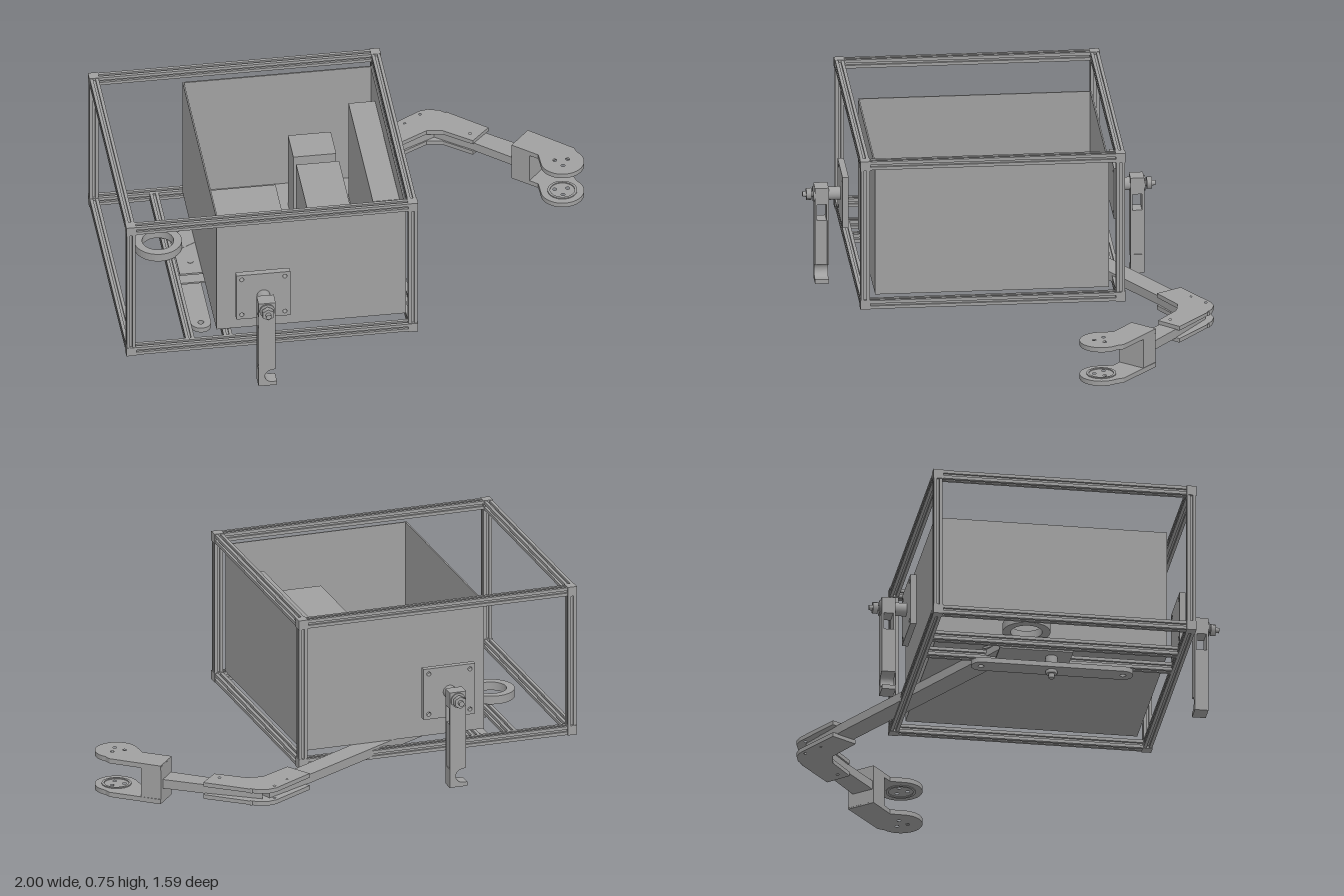
import * as THREE from 'three';

const grey = new THREE.MeshStandardMaterial({ color: 0xa0a0a0 });
grey.name = 'plain grey';

export function createModel() {
  const root = new THREE.Group();
  root.name = 'framedRobot';

  const add = (name, geo, parent = root) => {
    const m = new THREE.Mesh(geo, grey);
    m.name = name;
    parent.add(m);
    return m;
  };
  // box given by its limits on each axis
  const box = (name, x0, x1, y0, y1, z0, z1, parent) =>
    add(name, new THREE.BoxGeometry(x1 - x0, y1 - y0, z1 - z0)
      .translate((x0 + x1) / 2, (y0 + y1) / 2, (z0 + z1) / 2), parent);
  const circle = (x, y, r) => new THREE.Path().absarc(x, y, r, 0, Math.PI * 2, true);
  const extrude = (shape, depth) =>
    new THREE.ExtrudeGeometry(shape, { depth, bevelEnabled: false, curveSegments: 24 });
  // horizontal plate whose outline uses (x, -z)
  const slab = (name, shape, y0, y1, parent) =>
    add(name, extrude(shape, y1 - y0).rotateX(-Math.PI / 2).translate(0, y0, 0), parent);
  const poly = pts => new THREE.Shape(pts.map(([x, z]) => new THREE.Vector2(x, -z)));
  const postY = (name, x, z, r, y0, y1, n = 24, parent) =>
    add(name, new THREE.CylinderGeometry(r, r, y1 - y0, n).translate(x, (y0 + y1) / 2, z), parent);

  // slotted bar profile with a groove in each side
  const h = 0.018, g = 0.005, d = 0.009;
  const side = [[-h, -h], [-g, -h], [-g, -h + d], [g, -h + d], [g, -h]];
  const profile = new THREE.Shape();
  for (let k = 0; k < 4; k++) {
    const c = Math.round(Math.cos(k * Math.PI / 2)), s = Math.round(Math.sin(k * Math.PI / 2));
    side.forEach(([x, y], i) => {
      const p = [x * c - y * s, x * s + y * c];
      if (k + i === 0) profile.moveTo(...p); else profile.lineTo(...p);
    });
  }
  const bar = (name, axis, len, x, y, z) => {
    const geo = extrude(profile, len).translate(0, 0, -len / 2);
    if (axis === 'x') geo.rotateY(Math.PI / 2);
    if (axis === 'y') geo.rotateX(Math.PI / 2);
    add(name, geo.translate(x, y, z));
  };

  // outer frame
  const X = [-0.98, 0.17], Y = [0.13, 0.73], Z = [-0.445, 0.59];
  const mid = a => (a[0] + a[1]) / 2, len = a => a[1] - a[0] - 0.036;
  for (const y of Y) for (const z of Z) bar('frameRail', 'x', len(X), mid(X), y, z);
  for (const x of X) for (const z of Z) bar('framePost', 'y', len(Y), x, mid(Y), z);
  for (const x of X) for (const y of Y) bar('frameCrossRail', 'z', len(Z), x, y, mid(Z));
  for (const x of X) for (const y of Y) for (const z of Z)
    box('frameCorner', x - 0.02, x + 0.02, y - 0.02, y + 0.02, z - 0.02, z + 0.02);
  for (const x of [-0.735, -0.58]) bar('floorRail', 'z', len(Z), x, 0.13, mid(Z));

  // open storage bin
  const t = 0.006, bx0 = -0.623, bx1 = 0.15, bz0 = -0.4, bz1 = 0.547, top = 0.712;
  box('binFloor', bx0, bx1, 0.16, 0.166, bz0, bz1);
  box('binWall', bx0, bx0 + t, 0.166, top, bz0, bz1);
  box('binWall', bx1 - t, bx1, 0.166, top, bz0, bz1);
  box('binWall', bx0 + t, bx1 - t, 0.166, top, bz0, bz0 + t);
  box('binWall', bx0 + t, bx1 - t, 0.166, top, bz1 - t, bz1);

  // blocks stored in the bin
  box('flatBlock', -0.595, -0.26, 0.166, 0.24, -0.29, 0.43);
  box('shortBlock', -0.215, -0.04, 0.166, 0.51, -0.25, -0.1);
  box('longBlock', -0.215, -0.04, 0.166, 0.53, -0.02, 0.425);
  box('tallBlock', 0.035, 0.143, 0.166, 0.63, -0.27, 0.41);

  // hanging hook with its mounting plate, built facing +z from z = 0
  const hook = () => {
    const grp = new THREE.Group();
    grp.name = 'hangingHook';
    const cx = -0.445, cy = 0.375;
    const rod = (name, r, z0, z1, n = 24) =>
      add(name, new THREE.CylinderGeometry(r, r, z1 - z0, n).rotateX(Math.PI / 2)
        .translate(cx, cy, (z0 + z1) / 2), grp);
    const plate = new THREE.Shape();
    plate.moveTo(-0.555, 0.265).lineTo(-0.335, 0.265).lineTo(-0.335, 0.483).lineTo(-0.555, 0.483);
    for (const x of [-0.533, -0.357]) for (const y of [0.287, 0.461]) plate.holes.push(circle(x, y, 0.009));
    add('mountPlate', extrude(plate, 0.025), grp);
    rod('hubCollar', 0.027, 0.025, 0.075);
    rod('axle', 0.011, 0.075, 0.178);
    rod('hexNut', 0.026, 0.142, 0.163, 6);
    rod('washer', 0.031, 0.13, 0.136);
    // drop arm: solid head, two slot cheeks, body and notched foot
    const z0 = 0.074, z1 = 0.13, a = -0.48, b = -0.41;
    box('armHead', a, b, 0.34, 0.41, z0, z1, grp);
    for (const z of [z0, z1 - 0.009]) box('slotCheek', a, b, 0.27, 0.34, z, z + 0.009, grp);
    box('armBody', a + 0.003, b - 0.003, 0.08, 0.27, z0 + 0.006, z1 - 0.006, grp);
    for (const z of [z0, z1 - 0.006]) box('armEdge', a, b, 0.08, 0.27, z, z + 0.006, grp);
    const foot = new THREE.Shape();
    foot.moveTo(a, 0.08).lineTo(a, 0).lineTo(-0.405, 0).lineTo(-0.405, 0.018).lineTo(-0.425, 0.018);
    foot.absarc(-0.425, 0.047, 0.029, -Math.PI / 2, Math.PI / 2, true);
    foot.lineTo(b, 0.08);
    add('hookFoot', extrude(foot, z1 - z0).translate(0, 0, z0), grp);
    return grp;
  };
  const frontHook = hook();
  frontHook.position.z = 0.61;
  const backHook = hook();
  backHook.rotation.y = Math.PI;
  backHook.position.set(-0.89, 0, -0.465);
  root.add(frontHook, backHook);

  // rocking lever and pivot below the floor
  const lever = new THREE.Shape();
  lever.absarc(-0.66, 0.217, 0.041, 0, Math.PI, false);
  lever.absarc(-0.66, -0.362, 0.041, Math.PI, Math.PI * 2, false);
  lever.holes.push(circle(-0.66, 0.217, 0.012), circle(-0.66, -0.362, 0.012));
  slab('rockingLever', lever, 0.045, 0.066);
  postY('pivotShaft', -0.66, 0.07, 0.012, 0.012, 0.16);
  postY('pivotCollar', -0.66, 0.07, 0.024, 0.066, 0.105);
  postY('pivotNut', -0.66, 0.07, 0.024, 0.03, 0.045, 6);
  box('pivotPlate', -0.72, -0.6, 0.105, 0.112, -0.15, 0.15);
  box('pivotTopPlate', -0.715, -0.6, 0.15, 0.158, -0.06, 0.15);

  // ring at the root of the arm
  const ring = new THREE.Shape();
  ring.absarc(-0.775, 0.05, 0.097, 0, Math.PI * 2, false);
  ring.holes.push(circle(-0.775, 0.05, 0.064));
  slab('shoulderRing', ring, 0.155, 0.19);
  slab('ringClamp', poly([[-0.7, -0.1], [-0.6, -0.2], [-0.6, -0.07], [-0.69, -0.02]]), 0.15, 0.159);

  // upper arm, elbow and forearm
  slab('upperArm', poly([[0.42, -0.765], [0.45, -0.68], [0.26, -0.585], [-0.67, -0.035], [-0.72, -0.115], [0.2, -0.65]]), 0.121, 0.159);
  slab('forearm', poly([[0.45, -0.765], [0.65, -0.625], [0.84, -0.475], [0.77, -0.41], [0.59, -0.565], [0.44, -0.68]]), 0.121, 0.159);
  for (const y of [0.105, 0.157]) {
    const elbow = poly([[0.22, -0.685], [0.4, -0.793], [0.435, -0.8], [0.48, -0.787], [0.66, -0.64], [0.585, -0.56],
      [0.475, -0.645], [0.41, -0.655], [0.28, -0.583]]);
    elbow.holes.push(poly([[0.422, -0.74], [0.422, -0.7], [0.463, -0.7], [0.463, -0.74]]));
    const screws = [[0.27, -0.64], [0.33, -0.715], [0.36, -0.66], [0.4, -0.77], [0.5, -0.77],
      [0.52, -0.67], [0.56, -0.69], [0.58, -0.61]];
    for (const [x, z] of screws) elbow.holes.push(circle(x, -z, 0.006));
    slab('elbowPlate', elbow, y, y + 0.018);
  }

  // gripper block and its two rounded jaws
  slab('gripperBlock', poly([[0.725, -0.44], [0.802, -0.53], [0.868, -0.475], [0.79, -0.385]]), 0.065, 0.22);
  const turn = -Math.PI * 0.28;
  for (const y of [0.06, 0.205]) {
    const jaw = new THREE.Shape();
    jaw.moveTo(0.725, 0.44).lineTo(0.805, 0.532).lineTo(0.972, 0.385);
    jaw.absarc(0.912, 0.3, 0.088, Math.PI / 2 + turn, -Math.PI + 0.1, true);
    jaw.lineTo(0.822, 0.358);
    for (const [x, z] of [[0.91, -0.272], [0.882, -0.312], [0.935, -0.312]]) jaw.holes.push(circle(x, -z, 0.008));
    slab('gripperJaw', jaw, y, y + 0.02);
    // shallow rim on the inner face
    const rim = new THREE.Shape();
    rim.absarc(0.912, 0.3, 0.06, 0, Math.PI * 2, false);
    rim.holes.push(circle(0.912, 0.3, 0.05));
    const inner = y < 0.1 ? y + 0.02 : y - 0.004;
    slab('jawRim', rim, inner, inner + 0.004);
  }
  return root;
}
